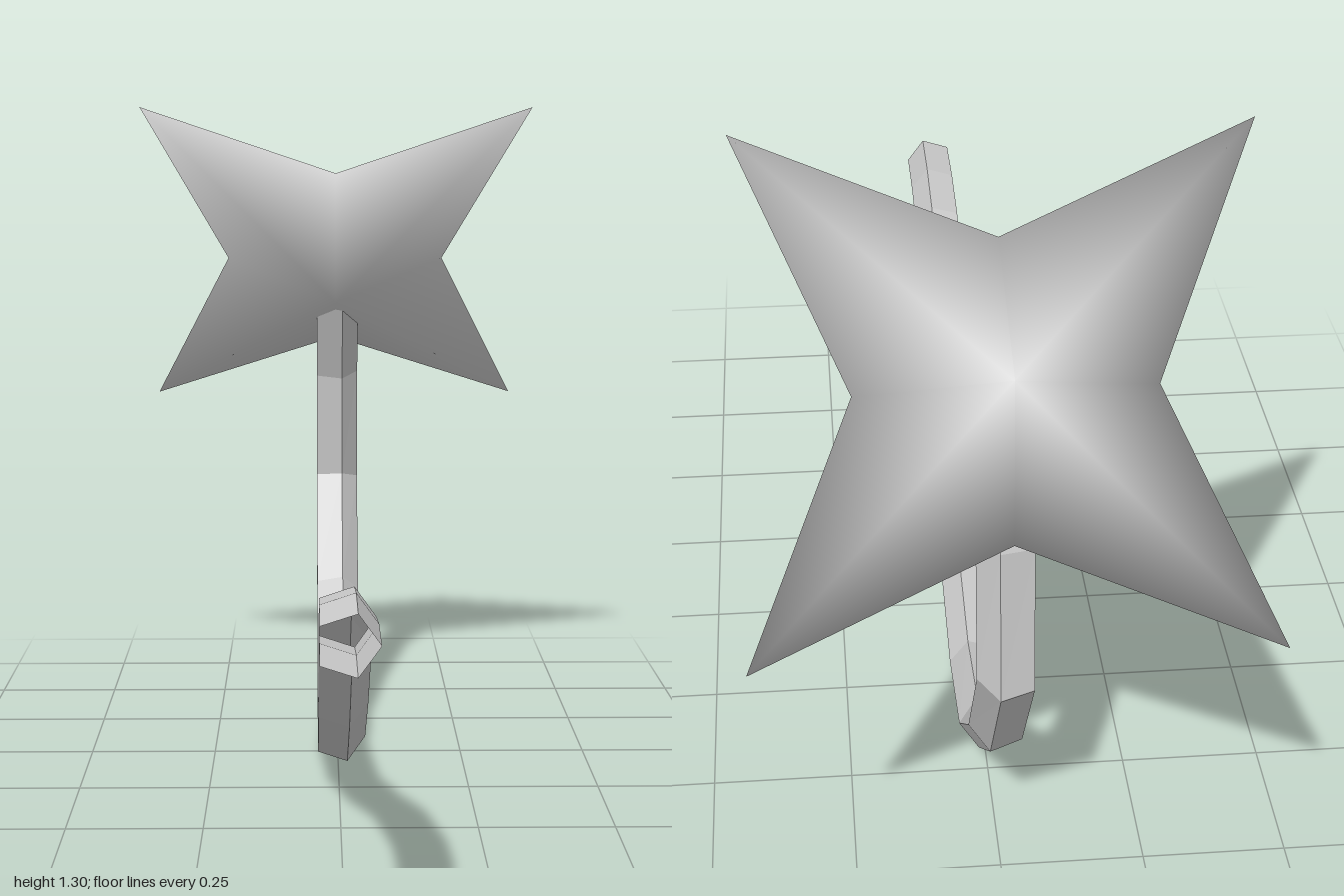
import * as THREE from 'three';

const material = () => new THREE.MeshStandardMaterial({ color: 0xcccccc, side: THREE.DoubleSide });

// Centre line of the tail as [z, y], all on x = 0
const PATH = [
  [1, 0.52], [0.855, 0.52], [0.715, 0.5], [0.46, 0.395], [0.235, 0.235], [0, 0.105], [-0.245, 0.051],
  [-0.47, 0.088], [-0.67, 0.255], [-0.826, 0.483], [-0.798, 0.725], [-0.7, 0.94],
];

// Five-sided open tube swept along the centre line
function tailGeometry(radius = 0.05, sides = 5) {
  const positions = [], indices = [];
  PATH.forEach(([z, y], i) => {
    const dir = ([az, ay], [bz, by]) => new THREE.Vector2(bz - az, by - ay).normalize();
    const before = dir(PATH[Math.max(i - 1, 0)], PATH[Math.max(i, 1)]);
    const after = i < PATH.length - 1 ? dir(PATH[i], PATH[i + 1]) : before;
    const t = before.clone().add(after).normalize(); // t.x runs along z, t.y along y
    for (let j = 0; j < sides; j++) {
      const a = (j / sides) * Math.PI * 2;
      const up = radius * Math.sin(a);
      positions.push(radius * Math.cos(a), y - t.x * up, z + t.y * up);
      if (i < PATH.length - 1) {
        const p = i * sides + j, q = i * sides + (j + 1) % sides;
        indices.push(p, p + sides, q, q, p + sides, q + sides);
      }
    }
  });
  const indexed = new THREE.BufferGeometry();
  indexed.setAttribute('position', new THREE.Float32BufferAttribute(positions, 3));
  indexed.setIndex(indices);
  const geometry = indexed.toNonIndexed();
  geometry.computeVertexNormals();
  return geometry;
}

// Four-pointed star: a shared rim joined to a front and a back apex, smooth throughout
function starGeometry(tip = 0.577, valley = 0.235, depth = 0.15) {
  const positions = [0, 0, depth, 0, 0, -depth], indices = [];
  for (let i = 0; i < 8; i++) {
    const a = (i / 8) * Math.PI * 2, r = i % 2 ? tip : valley;
    positions.push(r * Math.cos(a), r * Math.sin(a), 0);
    const p = 2 + i, q = 2 + (i + 1) % 8;
    indices.push(0, p, q, 1, q, p);
  }
  const geometry = new THREE.BufferGeometry();
  geometry.setAttribute('position', new THREE.Float32BufferAttribute(positions, 3));
  geometry.setIndex(indices);
  geometry.computeVertexNormals();
  return geometry;
}

export function createModel() {
  const group = new THREE.Group();
  group.name = 'starTippedTail';

  const tailMaterial = material();
  tailMaterial.flatShading = true;
  const tail = new THREE.Mesh(tailGeometry(), tailMaterial);
  tail.name = 'tail';

  // Star leans forward over the end of the tail
  const star = new THREE.Mesh(starGeometry(), material());
  star.name = 'star';
  star.position.set(0, 0.98, -0.755);
  star.rotation.x = 0.646;

  group.add(tail, star);
  return group;
}
